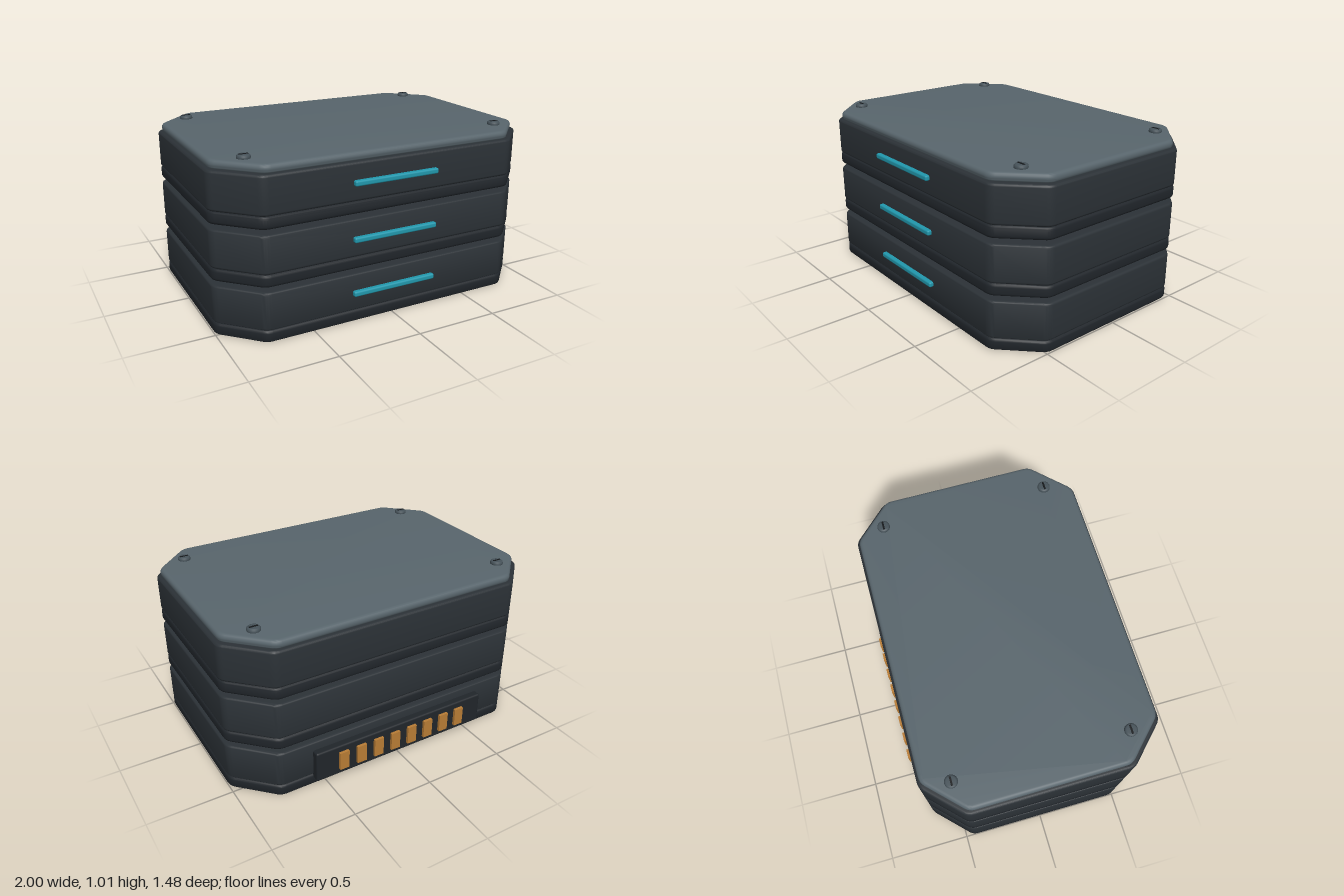
import * as THREE from 'three';
import { toCreasedNormals } from 'three/addons/utils/BufferGeometryUtils.js';
import { RoundedBoxGeometry } from 'three/addons/geometries/RoundedBoxGeometry.js';

const mat = (color) => new THREE.MeshStandardMaterial({ color });
const Z0 = 0.02; // centre of the case in z

// Octagon with softened corners, w and d are half sizes, c the corner cut
function octagon(w, d, c, r = 0.025) {
  const pts = [
    [w - c, -d], [w, -d + c], [w, d - c], [w - c, d],
    [-w + c, d], [-w, d - c], [-w, -d + c], [-w + c, -d],
  ].map(([x, y]) => new THREE.Vector2(x, y));
  const shape = new THREE.Shape();
  pts.forEach((p, i) => {
    const toward = (q) => q.clone().sub(p).setLength(r).add(p);
    const a = toward(pts[(i + 7) % 8]);
    const b = toward(pts[(i + 1) % 8]);
    if (i === 0) shape.moveTo(a.x, a.y);
    else shape.lineTo(a.x, a.y);
    shape.quadraticCurveTo(p.x, p.y, b.x, b.y);
  });
  shape.closePath();
  return shape;
}

// Octagonal slab with rounded rims, from y0 to y1
function slab(name, w, d, c, y0, y1, bevel, material) {
  let geo = new THREE.ExtrudeGeometry(octagon(w - bevel, d - bevel, c - bevel * 0.586), {
    depth: y1 - y0 - 2 * bevel,
    bevelSize: bevel,
    bevelThickness: bevel,
    bevelSegments: 4,
    curveSegments: 4,
  });
  geo.rotateX(-Math.PI / 2).translate(0, y0 + bevel, Z0);
  geo = toCreasedNormals(geo, 0.6);
  const mesh = new THREE.Mesh(geo, material);
  mesh.name = name;
  return mesh;
}

function box(name, size, pos, radius, material) {
  const geo = radius ? new RoundedBoxGeometry(...size, 3, radius) : new THREE.BoxGeometry(...size);
  const mesh = new THREE.Mesh(geo, material);
  mesh.position.set(...pos);
  mesh.name = name;
  return mesh;
}

export function createModel() {
  const model = new THREE.Group();
  model.name = 'stackedModules';
  const shell = mat(0x2b3136);
  const base = mat(0x20252a);
  const plate = mat(0x58656c);
  const light = mat(0x2197ac);
  const gold = mat(0xb87c35);
  const screwMat = mat(0x465259);
  const slotMat = mat(0x15181b);

  // Three stacked modules, each with a base, a shell and a front light strip
  for (let i = 0; i < 3; i++) {
    const y = i * 0.323;
    const unit = new THREE.Group();
    unit.name = ['lowerModule', 'middleModule', 'upperModule'][i];
    unit.add(
      slab('basePlate', 1, 0.695, 0.22, y + 0.002, y + 0.074, 0.018, base),
      slab('shell', 1, 0.695, 0.22, y + 0.074, y + 0.295, 0.015, shell),
      box('lightStrip', [0.53, 0.032, 0.04], [0, y + 0.181, 0.72], 0.01, light),
    );
    // Contact rails in the gaps between modules
    if (i < 2) {
      for (const s of [-1, 1]) {
        unit.add(box('contactRail', [0.05, 0.025, 0.25], [s * 0.767, y + 0.299, 0.343], 0, gold));
      }
    }
    model.add(unit);
  }

  // Top plate
  model.add(slab('topPlate', 0.98, 0.68, 0.22, 0.938, 0.99, 0.022, plate));

  // Slotted screws, each turned from a low rounded profile
  const profile = [[0, 0.98], [0.032, 0.98], [0.036, 0.986], [0.038, 0.994], [0.037, 1.003],
    [0.032, 1.009], [0.026, 1.011], [0, 1.011]].map(([r, y]) => new THREE.Vector2(r, y));
  for (const x of [-0.805, 0.805]) {
    for (const z of [-0.493, 0.527]) {
      const screw = new THREE.Group();
      screw.name = 'screw';
      const head = new THREE.Mesh(new THREE.LatheGeometry(profile, 24), screwMat);
      head.name = 'screwHead';
      screw.add(head, box('screwSlot', [0.052, 0.008, 0.011], [0, 1.009, 0], 0, slotMat));
      screw.position.set(x, 0, z);
      model.add(screw);
    }
  }

  // Rear connector with a row of eight contacts
  const connector = new THREE.Group();
  connector.name = 'rearConnector';
  connector.add(box('connectorBlock', [1.155, 0.195, 0.06], [0, 0.145, -0.688], 0.012, base));
  for (let i = 0; i < 8; i++) {
    connector.add(box('contact', [0.06, 0.115, 0.03], [(i - 3.5) * 0.116, 0.145, -0.72], 0, gold));
  }
  model.add(connector);
  return model;
}
